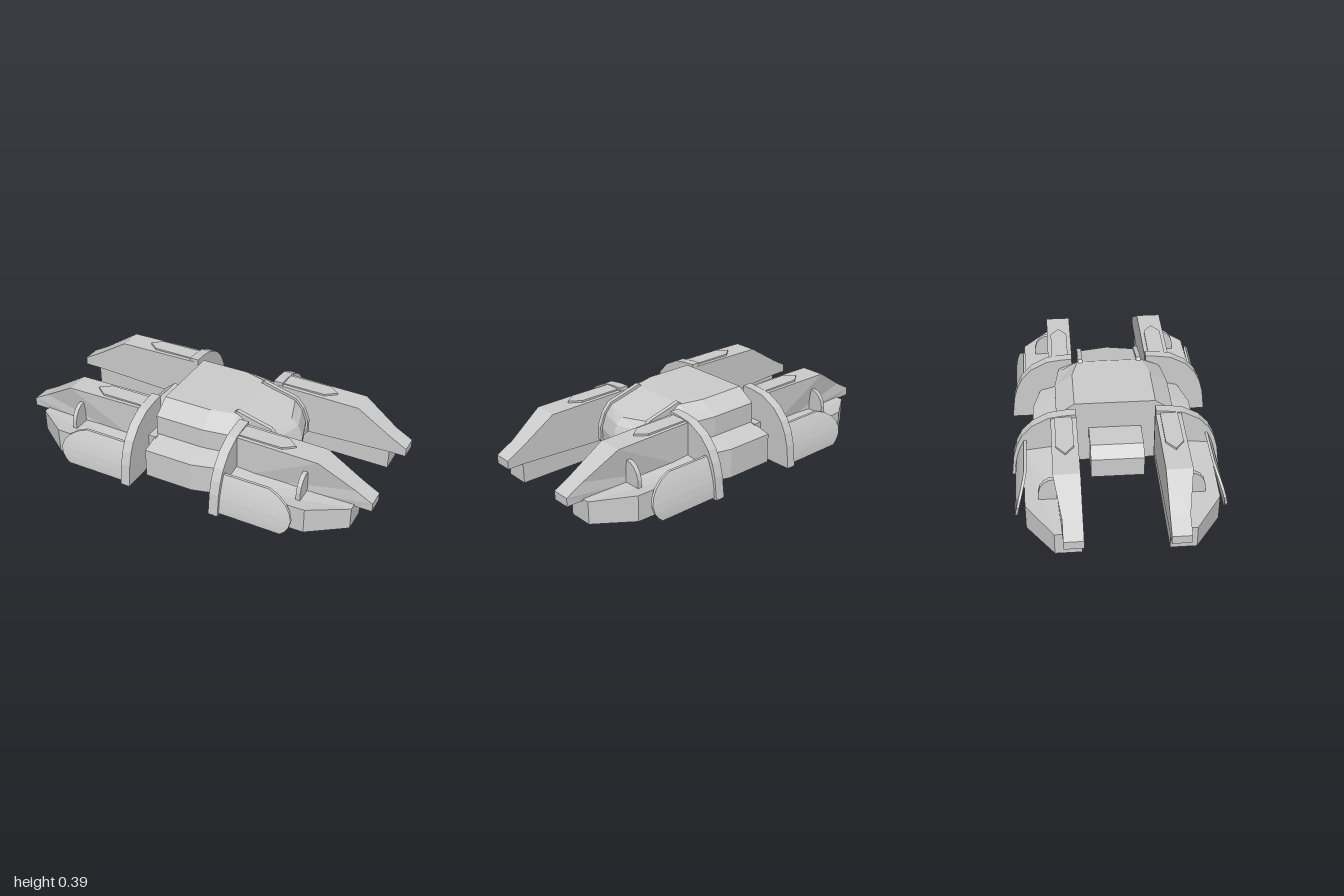
import * as THREE from 'three';

const material = new THREE.MeshStandardMaterial({ color: 0xcccccc, flatShading: true });

// Flat-faced solid through a series of closed cross-sections, with capped ends
function loft(sections) {
  const pos = [];
  const tri = (...pts) => pts.forEach((p) => pos.push(...p));
  const n = sections[0].length;
  const centre = (s) => [0, 1, 2].map((k) => s.reduce((sum, p) => sum + p[k], 0) / n);
  for (let j = 0; j < n; j++) {
    const k = (j + 1) % n;
    for (let i = 0; i < sections.length - 1; i++) {
      const s = sections[i], t = sections[i + 1];
      tri(s[j], s[k], t[k], s[j], t[k], t[j]);
    }
    const first = sections[0], last = sections[sections.length - 1];
    tri(centre(first), first[k], first[j]);
    tri(centre(last), last[j], last[k]);
  }
  const g = new THREE.BufferGeometry();
  g.setAttribute('position', new THREE.Float32BufferAttribute(pos, 3));
  g.computeVertexNormals();
  return g;
}

function extrude(points, depth) {
  const shape = new THREE.Shape(points.map((p) => new THREE.Vector2(...p)));
  return new THREE.ExtrudeGeometry(shape, { depth, bevelEnabled: false });
}
// Side profile (x, y) spanning z0..z1
const sidePlate = (pts, z0, z1) => extrude(pts, z1 - z0).translate(0, 0, z0);
// Cross profile (z, y) spanning x0..x1
const crossPlate = (pts, x0, x1) =>
  extrude(pts.map(([z, y]) => [-z, y]), x1 - x0).rotateY(Math.PI / 2).translate(x0, 0, 0);
// Plan outline (x, z) spanning y0..y1
const planPlate = (pts, y0, y1) =>
  extrude(pts.map(([x, z]) => [x, -z]), y1 - y0).rotateX(-Math.PI / 2).translate(0, y0, 0);

function moveVertices(g, rule) {
  const p = g.attributes.position;
  for (let i = 0; i < p.count; i++) p.setXYZ(i, ...rule(p.getX(i), p.getY(i), p.getZ(i)));
  g.computeVertexNormals();
  return g;
}

// Mirrored copy with the corner order kept facing outwards
function mirrored(geometry, sx, sz) {
  const g = geometry.clone();
  const p = g.attributes.position;
  for (let i = 0; i < p.count; i += 3) {
    for (let k = 0; k < 3; k++) {
      const src = i + (sx * sz < 0 ? 2 - k : k);
      const q = geometry.attributes.position;
      p.setXYZ(i + k, q.getX(src) * sx, q.getY(src), q.getZ(src) * sz);
    }
  }
  g.computeVertexNormals();
  return g;
}

// Solid with a side profile whose front comes to a ridge on the centre line
function ridged(profile, halfWidth, push, drop) {
  return loft([-halfWidth, 0, halfWidth].map((z) => profile.map(([x, y]) => {
    const front = z === 0 && x > 0.3;
    return [x + (front ? push : 0), y - (front && y > 0.3 ? drop : 0), z];
  })));
}

function podParts() {
  const spine = moveVertices(
    sidePlate([[0.26, 0.1], [0.91, 0.13], [1, 0.13], [1, 0.175], [0.91, 0.225], [0.72, 0.345], [0.26, 0.352]], 0.203, 0.335),
    (x, y, z) => [x, y, z > 0.3 ? 0.335 - 0.035 * THREE.MathUtils.clamp((x - 0.72) / 0.19, 0, 1) : z]);

  const lowerHull = moveVertices(
    planPlate([[0.26, 0.21], [0.91, 0.21], [0.91, 0.34], [0.72, 0.475], [0.26, 0.485]], 0.02, 0.18),
    (x, y, z) => [x, y < 0.1 ? y : x > 0.8 ? 0.14 : z > 0.4 ? 0.158 : 0.19, z]);

  const bulkhead = crossPlate([[0.26, 0], [0.548, 0], [0.534, 0.12], [0.515, 0.19], [0.485, 0.25], [0.43, 0.31],
    [0.345, 0.355], [0.27, 0.366], [0.205, 0.37], [0.205, 0.03]], 0.233, 0.285);

  // Curved outer armour with a rounded free end
  const rows = [[0.01, 0.62], [0.03, 0.643], [0.06, 0.662], [0.1, 0.67], [0.14, 0.655], [0.17, 0.63], [0.2, 0.585], [0.22, 0.53]];
  const armour = loft(rows.map(([y, end]) => {
    const z = 0.532 - 0.055 * (y / 0.22) ** 2;
    return [[0.27, y, z], [end, y, z], [end, y, z - 0.014], [0.27, y, z - 0.014]];
  }));

  const fin = crossPlate([[0.32, 0.15], [0.41, 0.15], [0.41, 0.19], [0.4, 0.225], [0.38, 0.252], [0.355, 0.268], [0.32, 0.272]], 0.645, 0.668);

  const topPanel = planPlate([[0.27, 0.225], [0.52, 0.225], [0.578, 0.27], [0.52, 0.315], [0.27, 0.315]], 0.34, 0.358);

  return { spine, lowerHull, bulkhead, armour, fin, topPanel };
}

export function createModel() {
  const model = new THREE.Group();
  const add = (parent, name, geometry) => {
    const mesh = new THREE.Mesh(geometry, material);
    mesh.name = name;
    parent.add(mesh);
  };

  // Central hull: stepped section, narrowing towards the nose
  const section = (x, roof, upper, outer, top) => {
    const half = [[roof, top], [upper, 0.31], [upper, 0.2], [outer, 0.17], [outer, 0.008]];
    const loop = [...half, ...half.slice().reverse().map(([z, y]) => [-z, y])];
    return loop.map(([z, y]) => [x, y, z]);
  };
  add(model, 'centralHull', loft([
    section(-0.2, 0.21, 0.305, 0.43, 0.376),
    section(0.07, 0.21, 0.305, 0.43, 0.376),
    section(0.2, 0.175, 0.285, 0.395, 0.374),
    section(0.235, 0.165, 0.275, 0.385, 0.355),
  ]));

  // Nose with sloping canopy, ridged visor and receding chin
  add(model, 'nose', ridged([[0.1, 0.006], [0.27, 0.006], [0.4, 0.08], [0.45, 0.145], [0.452, 0.21],
    [0.425, 0.28], [0.385, 0.325], [0.185, 0.375], [0.1, 0.37]], 0.155, 0.048, 0.012));
  add(model, 'visorSlit', ridged([[0.38, 0.24], [0.452, 0.24], [0.445, 0.258], [0.38, 0.258]], 0.11, 0.036, 0));

  const rim = sidePlate([[0.18, 0.002], [0.28, 0.002], [0.415, 0.07], [0.465, 0.14], [0.465, 0.215],
    [0.435, 0.29], [0.392, 0.337], [0.28, 0.366], [0.2, 0.388], [0.18, 0.37]], 0.148, 0.172);
  for (const sz of [1, -1]) add(model, 'noseRim', mirrored(rim, 1, sz));

  // Low block at the tail and links to the rear pods
  add(model, 'tailBlock', sidePlate([[-0.41, 0.06], [-0.18, 0.06], [-0.18, 0.22], [-0.35, 0.22], [-0.41, 0.17]], -0.138, 0.138));
  const link = sidePlate([[-0.25, 0.02], [-0.19, 0.02], [-0.19, 0.2], [-0.25, 0.2]], 0.21, 0.34);
  for (const sz of [1, -1]) add(model, 'rearLink', mirrored(link, 1, sz));

  // Four matching pods
  const parts = podParts();
  for (const sx of [1, -1]) {
    for (const sz of [1, -1]) {
      const pod = new THREE.Group();
      pod.name = `${sx > 0 ? 'nose' : 'tail'}${sz > 0 ? 'Front' : 'Back'}Pod`;
      for (const [name, geometry] of Object.entries(parts)) add(pod, name, mirrored(geometry, sx, sz));
      model.add(pod);
    }
  }
  return model;
}
